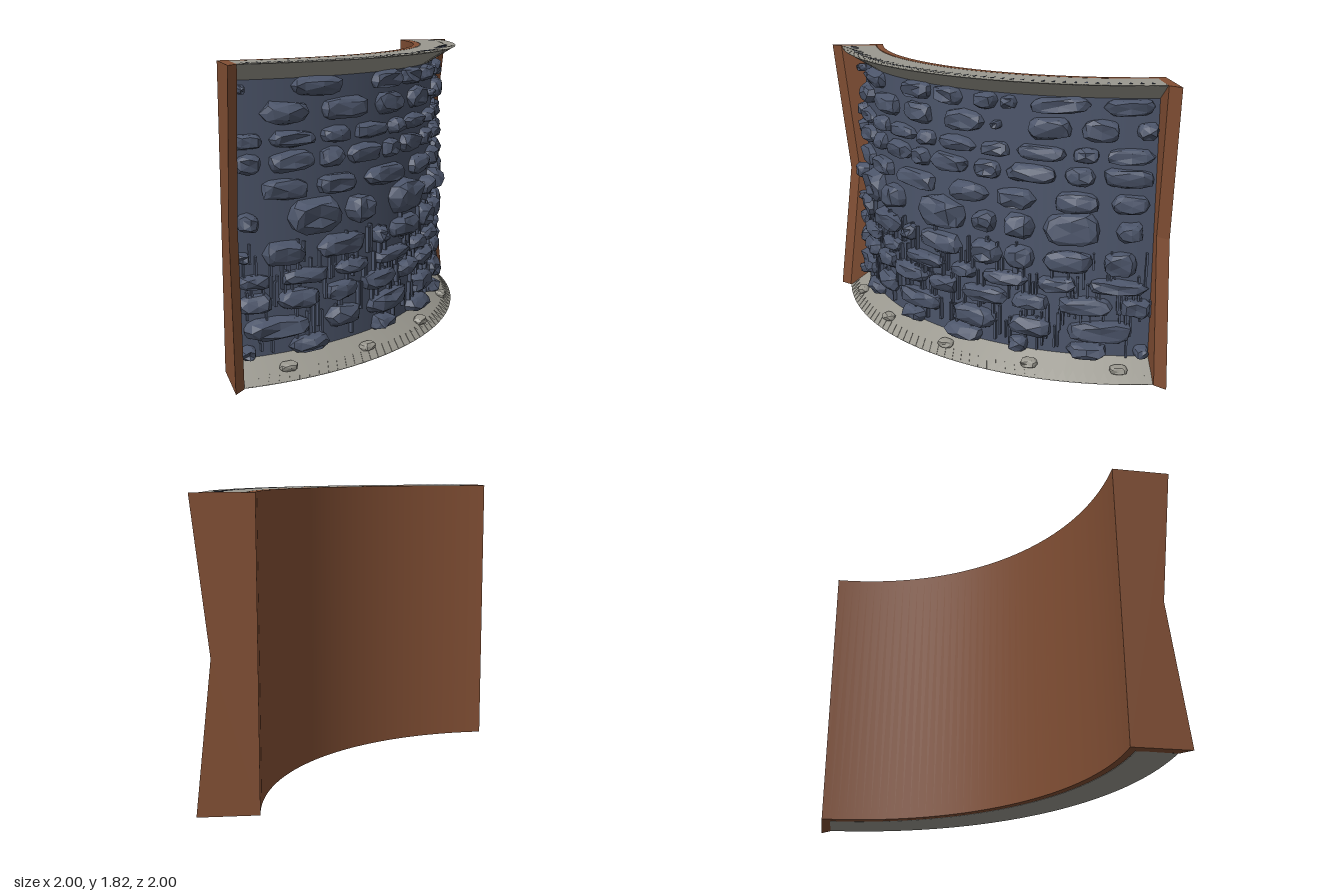
import * as THREE from 'three';
import { mergeGeometries } from 'three/addons/utils/BufferGeometryUtils.js';

const H = 1.82, WALL = 1.77;
const RAD = Math.PI / 180;

// small seeded random generator
let seed = 7;
function rand() {
  seed = (seed * 16807) % 2147483647;
  return seed / 2147483647;
}

// turn a part made at the origin (z = outward) to its angle on the curved wall
function place(geo, degrees, radius, y) {
  return geo.translate(0, y, radius).rotateY(degrees * RAD);
}

// curved surface of a profile between the end boards, sharp at each profile point
function sweep(points, margin = 1.85) {
  const strips = [];
  for (let i = 0; i < points.length - 1; i++) {
    const pair = [points[i], points[i + 1]].map(([r, y]) => new THREE.Vector2(r, y));
    strips.push(new THREE.LatheGeometry(pair, 48, margin * RAD, (90 - 2 * margin) * RAD));
  }
  return mergeGeometries(strips);
}

// faceted, boxy boulder of the given full size
function boulder(w, h, d) {
  const geo = new THREE.IcosahedronGeometry(1, 1);
  const p = geo.attributes.position;
  const v = new THREE.Vector3();
  const moved = new Map();
  const square = (a) => Math.sign(a) * Math.abs(a) ** 0.66;
  for (let i = 0; i < p.count; i++) {
    v.fromBufferAttribute(p, i);
    const key = v.toArray().map((a) => Math.round(a * 100) + 0).join();
    if (!moved.has(key)) {
      moved.set(key, [
        square(v.x) * (0.88 + 0.2 * rand()) * w / 2,
        square(v.y) * (0.78 + 0.3 * rand()) * h / 2,
        square(v.z) * (0.7 + 0.5 * rand()) * d / 2,
      ]);
    }
    p.setXYZ(i, ...moved.get(key));
  }
  geo.rotateZ((rand() - 0.5) * 0.1);
  geo.computeVertexNormals();
  return geo;
}

// one course of stones, each given by its start and end angle
function course(y, h, depth, spans) {
  return spans.map(([from, to]) => {
    const w = (to - from) * RAD * 1.8;
    return place(boulder(w, Math.min(h, w * 0.85), depth), (from + to) / 2, WALL, y);
  });
}

// regular spans of long and short stones in turn
function alternate(count, fill, contrast) {
  const weights = Array.from({ length: count }, (_, i) =>
    1 + (i % 2 ? contrast : -contrast) + 0.3 * (rand() - 0.5));
  const total = weights.reduce((a, b) => a + b);
  let angle = 1.5;
  return weights.map((weight) => {
    const span = 87 * weight / total;
    const gap = span * (1 - fill) / 2;
    angle += span;
    return [angle - span + gap, angle - gap];
  });
}

// end board: waisted outline with a bevelled outer edge; side sets which way it thickens
function endBoard(side) {
  const outline = [[1.64, 0], [2, 0], [1.9, H / 2], [2, H], [1.64, H]];
  const shape = new THREE.Shape(outline.map(([r, y]) => new THREE.Vector2(r, y)));
  const geo = new THREE.ExtrudeGeometry(shape, { depth: 0.06, bevelEnabled: false });
  if (side < 0) geo.translate(0, 0, -0.06);
  const p = geo.attributes.position;
  for (let i = 0; i < p.count; i++) {
    if (Math.abs(p.getZ(i)) > 0.03 && p.getX(i) > 1.7) p.setX(i, p.getX(i) - 0.065);
  }
  geo.computeVertexNormals();
  return geo;
}

// ring of thin triangles pointing inward, tilted to lie on a slope
function triangles(count, halfWidth, size, tilt, radius, y, first) {
  return mergeGeometries(Array.from({ length: count }, (_, i) => {
    const geo = new THREE.CylinderGeometry(1, 1, 0.003, 3).rotateY(Math.PI);
    geo.scale(halfWidth, 1, size).rotateX(tilt);
    return place(geo, first + i * (90 - 2 * first) / (count - 1), radius, y);
  }));
}

export function createModel() {
  seed = 7;
  const group = new THREE.Group();
  const material = (name, color) => {
    const m = new THREE.MeshStandardMaterial({ color, side: THREE.DoubleSide });
    m.name = name;
    return m;
  };
  const slate = material('slate', 0x4c556a);
  const wood = material('brown wood', 0x824f34);
  const trim = material('grey trim', 0x9a988f);
  const add = (name, geo, mat) => {
    const mesh = new THREE.Mesh(geo, mat);
    mesh.name = name;
    mesh.position.set(-1, 0, -1);
    group.add(mesh);
  };

  // curved shells
  add('backPanel', sweep([[1.685, 0], [1.64, 0], [1.64, H], [1.685, H]], 0), wood);
  add('stoneBacking', sweep([[WALL, 0.1], [WALL, 1.72]]), slate);
  add('topRim', sweep([[1.69, H - 0.1], [1.69, H], [1.93, H], [WALL - 0.01, 1.715]]), trim);
  add('bottomRim', sweep([[WALL - 0.01, 0.125], [1.93, 0], [1.69, 0], [1.69, 0.1]]), trim);

  // end boards
  add('rightEndBoard', endBoard(-1).rotateY(-Math.PI / 2), wood);
  add('leftEndBoard', endBoard(1), wood);

  // stone courses from top to bottom
  add('upperStones', mergeGeometries([
    course(1.67, 0.11, 0.14, [[2, 4], [13, 24], [32, 41], [42, 49], [52, 57], [58, 61], [64, 75], [78, 87]]),
    course(1.53, 0.14, 0.14, [[7, 16], [19.5, 30], [33, 41], [45, 54], [56, 58], [63.5, 72], [74, 81], [84, 88]]),
    course(1.38, 0.1, 0.13, alternate(10, 0.84, 0.25)),
    course(1.25, 0.12, 0.13, alternate(10, 0.84, 0.25)),
    course(1.09, 0.13, 0.14, [[6.5, 16], [18, 27], [30, 42], [46, 55], [57, 65], [69, 77.5], [80, 87]]),
    course(0.92, 0.22, 0.2, [[2, 6], [12, 23], [25, 31.5], [38, 49.5], [52, 57], [59, 65], [67, 78], [81, 86]]),
  ].flat()), slate);
  add('lowerStones', mergeGeometries([
    course(0.72, 0.15, 0.16, [[1.5, 4], [7, 15], [18.5, 29.5], [32, 36], [38, 49], [51.5, 58], [59, 65], [67, 76.5], [78.5, 85]]),
    course(0.57, 0.1, 0.14, alternate(8, 0.82, 0.2)),
    course(0.44, 0.12, 0.15, alternate(9, 0.85, 0.2)),
    course(0.28, 0.14, 0.16, [[3, 16], [20, 28], [30.5, 43], [47, 57], [60, 69], [72, 85]]),
    course(0.155, 0.11, 0.18, [[2, 5], [12, 20], [32, 38], [45, 54], [60, 64], [72, 80], [85, 88]]),
  ].flat()), slate);

  // thin upright ribs between the lower courses
  const ribs = [];
  for (let i = 0; i < 150; i++) {
    const geo = new THREE.BoxGeometry(0.012, 0.1 + 0.12 * rand(), 0.05);
    ribs.push(place(geo, 2 + 86 * (i + rand()) / 150, WALL, 0.2 + 0.54 * rand()));
  }
  add('ribs', mergeGeometries(ribs), slate);

  // teeth along both rims, with dark notches between the top ones
  add('topTeeth', triangles(45, 0.036, 0.055, 0, 1.902, H - 0.0005, 3), trim);
  add('bottomTeeth', triangles(45, 0.036, 0.05, 38 * RAD, 1.91, 0.018, 3), trim);
  add('rimNotches', triangles(44, 0.012, 0.034, 0, 1.855, H, 4), slate);

  // pebbles lying on the lower lip
  const pebbles = [10.5, 28, 46.5, 65, 82].map((a) =>
    place(boulder(0.11, 0.055, 0.08), a, 1.86, 0.065));
  add('pebbles', mergeGeometries(pebbles), trim);

  return group;
}
